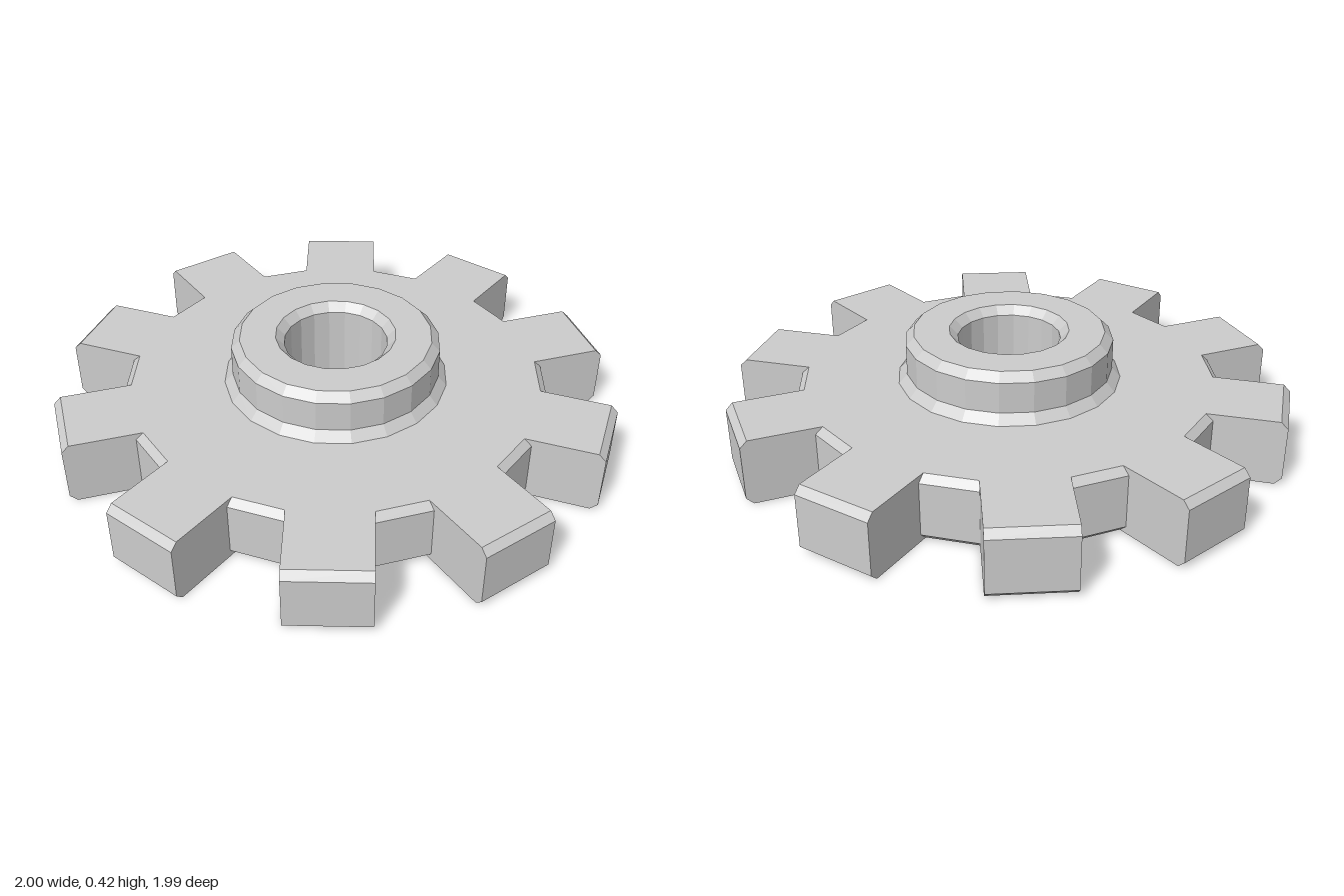
import * as THREE from 'three';

const TEETH = 10, SIDES = 20;
const HALF_WIDTH = 0.141;      // half width of a parallel-sided tooth
const TIP = 1, ROOT = 0.757;   // distances of tip and root flats from the axis
const BEVEL = 0.025, THICK = 0.242;

// Gear outline, counter-clockwise; the inset moves only tips and roots
function outline(inset) {
  const pts = [], half = Math.PI / TEETH;
  const tip = TIP - inset;
  const root = (ROOT - inset - HALF_WIDTH * Math.sin(half)) / Math.cos(half);
  for (let i = 0; i < TEETH; i++) {
    const a = 2 * half * i;
    for (const [u, v] of [[root, -1], [tip, -1], [tip, 1], [root, 1]]) {
      pts.push(new THREE.Vector2(u, v * HALF_WIDTH).rotateAround(new THREE.Vector2(), a));
    }
  }
  return pts;
}

// Polygon whose flats lie at distance r, matching the hub's facets
function polygon(r) {
  const R = r / Math.cos(Math.PI / SIDES);
  return Array.from({ length: SIDES }, (_, i) => {
    const a = (i + 0.5) * 2 * Math.PI / SIDES;
    return new THREE.Vector2(R * Math.cos(a), R * Math.sin(a));
  });
}

function gearFace(holeRadius, y, up) {
  const shape = new THREE.Shape(outline(BEVEL));
  shape.holes.push(new THREE.Path(polygon(holeRadius)));
  const g = new THREE.ShapeGeometry(shape);
  g.rotateX(up ? -Math.PI / 2 : Math.PI / 2);
  return g.translate(0, y, 0);
}

// Toothed rim: stacked outlines joined by quads
function rimGeometry() {
  const levels = [[BEVEL, 0], [0, BEVEL], [0, THICK - BEVEL], [BEVEL, THICK]];
  const positions = [], index = [], n = TEETH * 4;
  levels.forEach(([inset, y], k) => {
    outline(inset).forEach((p, i) => {
      positions.push(p.x, y, -p.y);
      if (k === 0) return;
      const j = (i + 1) % n, lo = (k - 1) * n, hi = k * n;
      index.push(lo + i, lo + j, hi + j, lo + i, hi + j, hi + i);
    });
  });
  const g = new THREE.BufferGeometry();
  g.setAttribute('position', new THREE.Float32BufferAttribute(positions, 3));
  g.setIndex(index);
  const flat = g.toNonIndexed();
  flat.computeVertexNormals();
  return flat;
}

export function createModel() {
  const group = new THREE.Group();
  group.name = 'gear';
  const material = new THREE.MeshStandardMaterial({ color: 0xcccccc, flatShading: true });
  const add = (name, geometry) => {
    const mesh = new THREE.Mesh(geometry, material);
    mesh.name = name;
    group.add(mesh);
  };

  // Toothed disc
  add('toothedRim', rimGeometry());
  add('topFace', gearFace(0.398, THICK, true));
  add('bottomFace', gearFace(0.212, 0, false));

  // Raised hub, its bevels and the through bore
  const profile = [
    [0.398, THICK], [0.368, 0.276], [0.368, 0.387], [0.338, 0.417],
    [0.212, 0.417], [0.182, 0.387], [0.182, 0.03], [0.212, 0],
  ].map(([r, y]) => new THREE.Vector2(r / Math.cos(Math.PI / SIDES), y));
  add('hubAndBore', new THREE.LatheGeometry(profile, SIDES, Math.PI / SIDES));

  return group;
}
